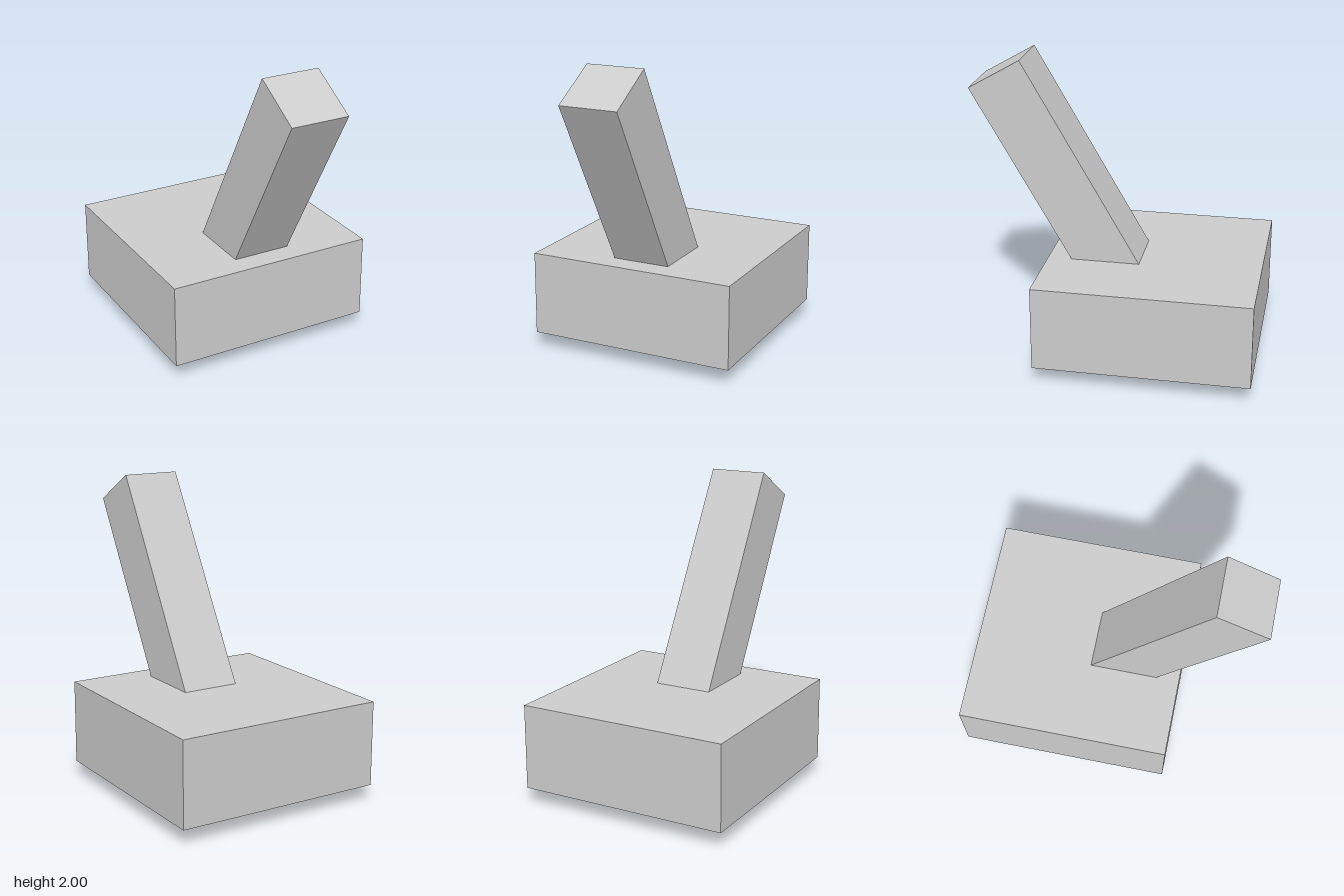
import * as THREE from 'three';

export function createModel() {
  const model = new THREE.Group();
  const material = new THREE.MeshStandardMaterial({
    color: 0xcccccc, flatShading: true, side: THREE.DoubleSide,
  });

  function addPart(name, geometry, x, y, z) {
    const mesh = new THREE.Mesh(geometry, material);
    mesh.name = name;
    mesh.position.set(x, y, z);
    model.add(mesh);
    return mesh;
  }

  // Hollow base: thin box with its underside left open
  const shell = new THREE.BoxGeometry(1.41, 0.56, 1.41);
  const index = Array.from(shell.index.array);
  index.splice(18, 6); // drop the bottom face
  shell.setIndex(index);
  shell.clearGroups();
  addPart('base', shell, 0, 0.385, -0.25);

  // Square lever leaning forward through the base
  const lever = addPart('lever', new THREE.BoxGeometry(0.39, 2.084, 0.392), 0.01, 1, 0.265);
  lever.rotation.x = Math.PI / 6;

  return model;
}
